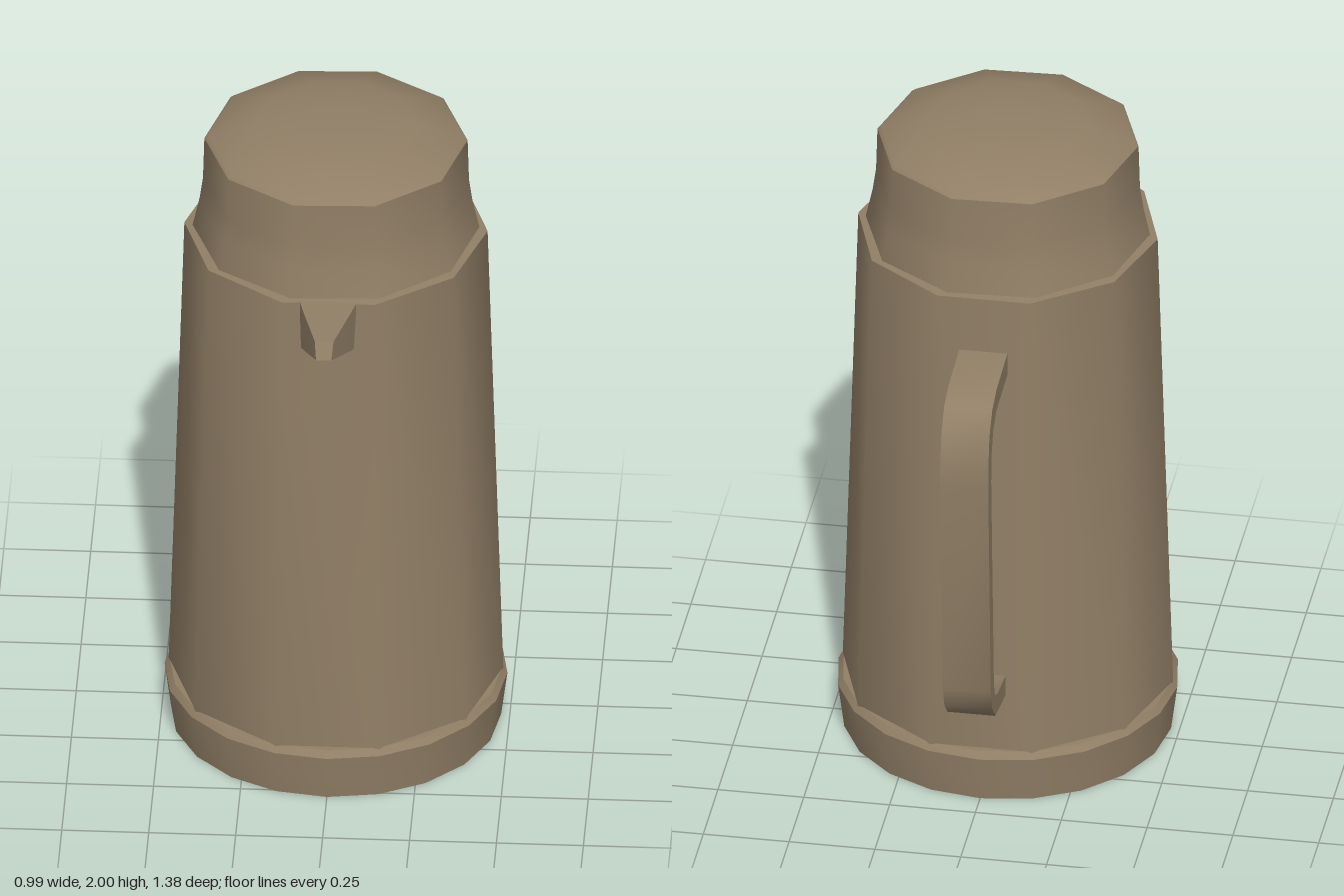
import * as THREE from 'three';
import { toCreasedNormals } from 'three/addons/utils/BufferGeometryUtils.js';

const AXIS_Z = 0.055; // the flask's axis sits slightly forward

export function createModel() {
  const group = new THREE.Group();
  const brown = new THREE.MeshStandardMaterial({ color: 0x917f66 });
  brown.name = 'warm taupe';

  const add = (name, geometry, crease = 0.75) => {
    const mesh = new THREE.Mesh(toCreasedNormals(geometry, crease), brown);
    mesh.name = name;
    group.add(mesh);
    return mesh;
  };

  // Turned parts, with a corner on the x axis
  const turned = (name, sides, profile) => {
    const points = profile.map(([r, y]) => new THREE.Vector2(r, y));
    const mesh = add(name, new THREE.LatheGeometry(points, sides, Math.PI / 2));
    mesh.position.z = AXIS_Z;
    return mesh;
  };

  turned('base', 20, [[0, 0], [0.475, 0], [0.493, 0.14], [0.478, 0.16], [0.44, 0.16]]);
  turned('body', 10, [[0.482, 0.13], [0.436, 1.638], [0.4, 1.642]]);
  const lid = turned('lid', 10, [
    [0.413, 1.635], [0.392, 1.73], [0.382, 1.8], [0.378, 1.935],
    [0.366, 1.945], [0.235, 1.987], [0.1, 1.998], [0, 2],
  ]);
  lid.rotation.y = 0.04;

  // Spout: four-cornered sections from wall to tip
  // [half width top, half width bottom, top y, top z, bottom y, bottom z]
  const sections = [
    [0.082, 0.076, 1.64, 0.465, 1.505, 0.5],
    [0.066, 0.06, 1.64, 0.53, 1.533, 0.565],
    [0.027, 0.022, 1.636, 0.67, 1.587, 0.695],
  ];
  const positions = [];
  for (const [wt, wb, ty, tz, by, bz] of sections) {
    positions.push(-wb, by, bz, wb, by, bz, wt, ty, tz, -wt, ty, tz);
  }
  const index = [];
  for (let s = 0; s < sections.length - 1; s++) {
    for (let i = 0; i < 4; i++) {
      const a = s * 4 + i, b = s * 4 + (i + 1) % 4;
      index.push(a, b, b + 4, a, b + 4, a + 4);
    }
  }
  const tip = (sections.length - 1) * 4;
  index.push(tip, tip + 1, tip + 2, tip, tip + 2, tip + 3, 0, 2, 1, 0, 3, 2);
  const spout = new THREE.BufferGeometry();
  spout.setAttribute('position', new THREE.Float32BufferAttribute(positions, 3));
  spout.setIndex(index);
  add('spout', spout);

  // Handle: flat bent strap, outlined as [distance behind centre, height]
  const outer = [
    [0.35, 0.333], [0.4, 0.34], [0.57, 0.373], [0.62, 0.425], [0.648, 0.5],
    [0.69, 1.2], [0.69, 1.27], [0.67, 1.37], [0.622, 1.43], [0.55, 1.456], [0.35, 1.467],
  ];
  const inner = [
    [0.35, 1.396], [0.555, 1.387], [0.605, 1.353], [0.633, 1.29], [0.64, 1.2],
    [0.595, 0.5], [0.58, 0.452], [0.54, 0.427], [0.4, 0.405], [0.35, 0.398],
  ];
  const outline = new THREE.Shape([...outer, ...inner].map(([u, v]) => new THREE.Vector2(u, v)));
  const strap = new THREE.ExtrudeGeometry(outline, { depth: 0.14, bevelEnabled: false });
  strap.translate(0, 0, -0.07);
  strap.rotateY(Math.PI / 2);
  add('handle', strap);

  return group;
}
